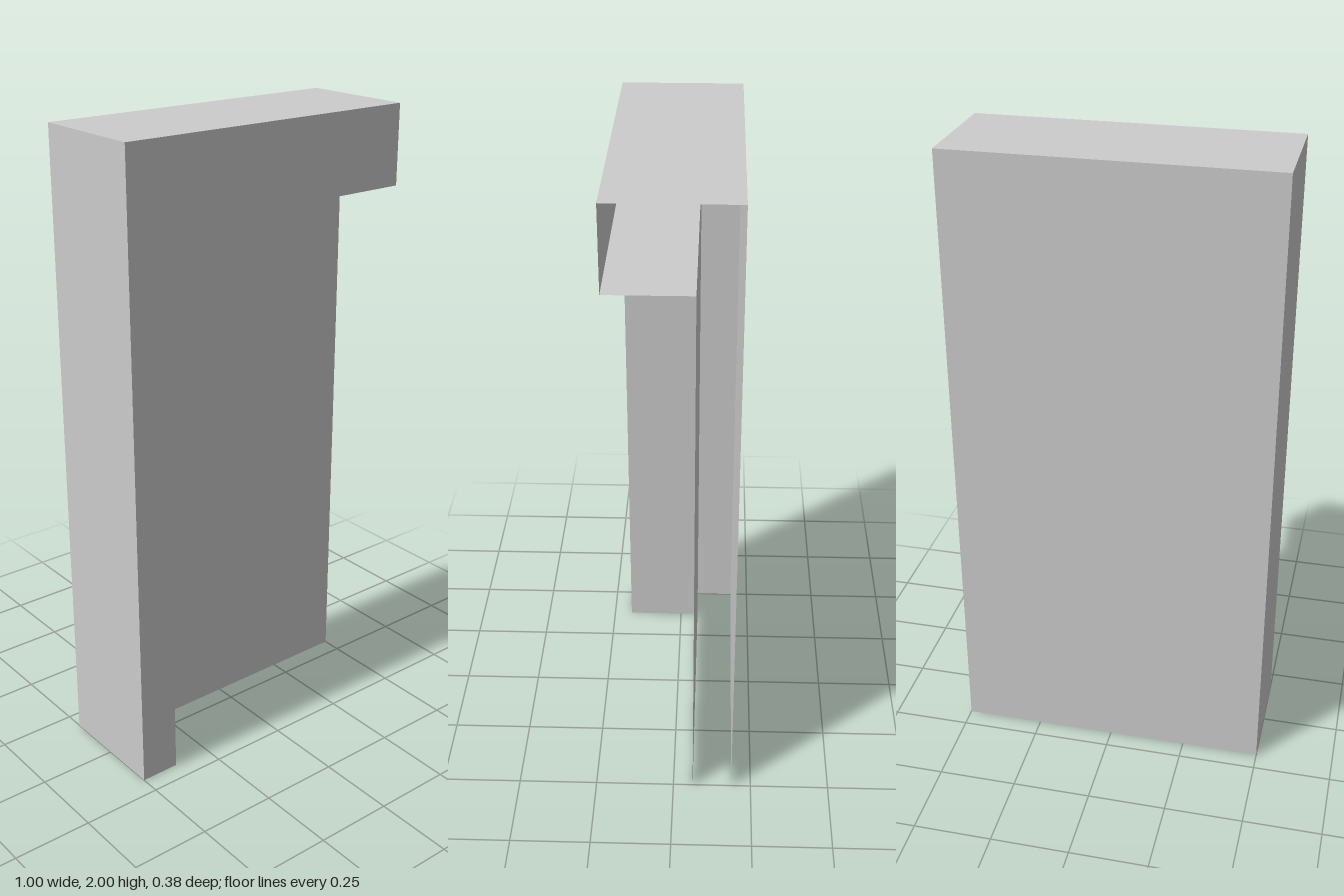
import * as THREE from 'three';

// Outer shell limits, and the recess cut into the front
const LEFT = 0.5, RIGHT = -0.5, TOP = 2, FRONT = 0.1875, BACK = -0.1875;
const JAMB_X = -0.375, LINTEL_Y = 1.75, PANEL_Z = -0.0625;

export function createModel() {
  const model = new THREE.Group();
  const material = new THREE.MeshStandardMaterial({
    color: 0xcccccc, flatShading: true, side: THREE.DoubleSide,
  });

  const add = (name, geometry) => {
    const mesh = new THREE.Mesh(geometry, material);
    mesh.name = name;
    model.add(mesh);
    return mesh;
  };

  // Thin upright sheet at depth z, turned to face 'turn' around y
  const upright = (name, x0, x1, height, z, turn = 0) => {
    const g = new THREE.PlaneGeometry(x1 - x0, height).rotateY(turn);
    g.translate((x0 + x1) / 2, height / 2, z);
    return add(name, g);
  };

  // Sheet across the depth, facing sideways
  const sideways = (name, x, height, z0, z1, turn) => {
    const g = new THREE.PlaneGeometry(z1 - z0, height).rotateY(turn);
    g.translate(x, height / 2, (z0 + z1) / 2);
    return add(name, g);
  };

  // Level sheet, facing up or down
  const level = (name, x0, x1, y, z0, z1, turn) => {
    const g = new THREE.PlaneGeometry(x1 - x0, z1 - z0).rotateX(turn);
    g.translate((x0 + x1) / 2, y, (z0 + z1) / 2);
    return add(name, g);
  };

  // Outer skin: the left end and the underside stay open
  upright('backWall', RIGHT, LEFT, TOP, BACK, Math.PI);
  sideways('outerSide', RIGHT, TOP, BACK, FRONT, -Math.PI / 2);
  level('topCap', RIGHT, LEFT, TOP, BACK, FRONT, -Math.PI / 2);

  // L-shaped front face: jamb and lintel in one piece
  const face = new THREE.Shape([
    [RIGHT, 0], [JAMB_X, 0], [JAMB_X, LINTEL_Y],
    [LEFT, LINTEL_Y], [LEFT, TOP], [RIGHT, TOP],
  ].map(([x, y]) => new THREE.Vector2(x, y)));
  add('frontFrame', new THREE.ShapeGeometry(face).translate(0, 0, FRONT));

  // Recess lining
  upright('recessPanel', JAMB_X, LEFT, LINTEL_Y, PANEL_Z);
  sideways('jambReveal', JAMB_X, LINTEL_Y, PANEL_Z, FRONT, Math.PI / 2);
  level('lintelSoffit', JAMB_X, LEFT, LINTEL_Y, PANEL_Z, FRONT, Math.PI / 2);

  return model;
}
